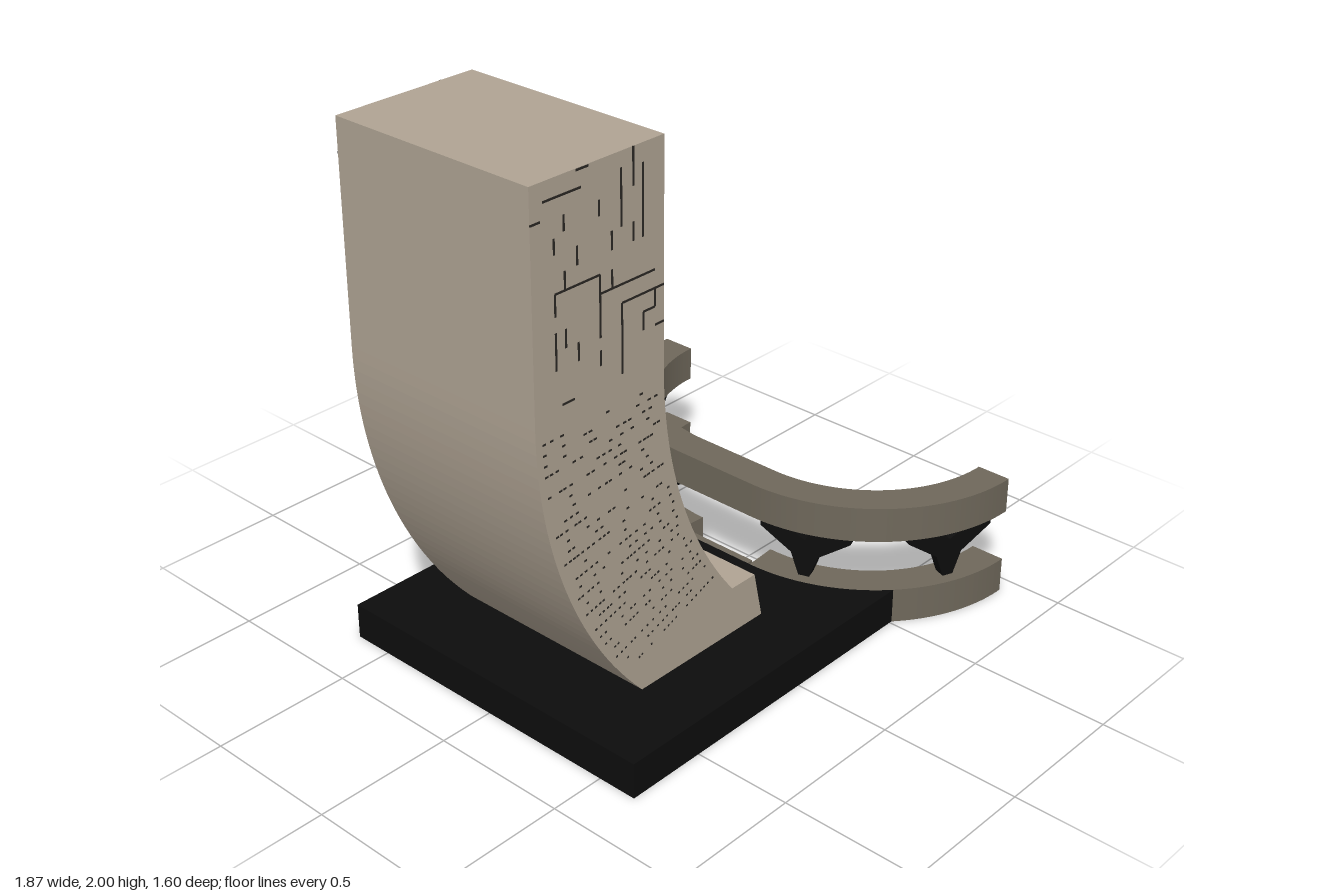
import * as THREE from 'three';
import { mergeGeometries } from 'three/addons/utils/BufferGeometryUtils.js';

const mat = (c) => new THREE.MeshStandardMaterial({ color: c });
const STONE = mat(0xb0a494), RING = mat(0x6f685b), BLACK = mat(0x0d0d0d), DARK = mat(0x2a2723);
const GLASS = mat(0x1f6b80), FRAME = mat(0x4f4239), GOLD = mat(0xa08432);

// tower edges: straight above BEND, circular arcs below
const BEND = 1.25, NICHE = { y0: 1.48, y1: 1.82, z: 0.295, depth: 0.16 };
const arcX = (x0, r, y) => (y >= BEND ? x0 : x0 + r - Math.sqrt(r * r - (BEND - y) ** 2));
const backX = (y) => arcX(-0.94, 1.645, y);
const frontX = (y) => arcX(-0.4, 1.497, y);
const BANDS = [[0.495, 0.565], [0.635, 0.705], [0.775, 0.845], [0.92, 0.995], [1.07, 1.145], [1.22, 1.3]];

// direction into the tower at the middle of a window band
function bandFrame([y0, y1]) {
  const a = new THREE.Vector2(frontX(y0), y0), b = new THREE.Vector2(frontX(y1), y1);
  const d = b.clone().sub(a);
  return { a, b, len: d.length(), angle: Math.atan2(d.y, d.x) - Math.PI / 2, inward: new THREE.Vector2(-d.y, d.x).normalize() };
}

// side profile of the tower with optional recesses
function towerShape(windows, niche, door) {
  const p = [[-0.5, 0.13]];
  if (door) p.push([0.045, 0.13], [0.045, 0.285], [0.053, 0.285], [0.05, 0.305]);
  else p.push([0.09, 0.13], [0.05, 0.305]);
  const run = (from, to) => {
    const n = Math.max(1, Math.round((to - from) / 0.04));
    for (let i = 0; i <= n; i++) {
      const y = from + ((to - from) * i) / n;
      p.push([frontX(y), y]);
    }
  };
  let y = 0.305;
  for (const band of windows ? BANDS : []) {
    run(y, band[0]);
    const { a, b, inward } = bandFrame(band);
    for (const q of [a, b]) p.push([q.x + inward.x * 0.03, q.y + inward.y * 0.03]);
    y = band[1];
  }
  run(y, Math.max(y, 1.31));
  if (niche) {
    const xi = -0.4 - NICHE.depth;
    p.push([-0.4, NICHE.y0], [xi, NICHE.y0], [xi, NICHE.y1], [-0.4, NICHE.y1]);
  }
  p.push([-0.4, 2], [-0.94, 2]);
  for (let i = 0; i < 28; i++) {
    const yy = BEND - (1.12 * i) / 28;
    p.push([backX(yy), yy]);
  }
  return new THREE.Shape(p.map(([x, v]) => new THREE.Vector2(x, v)));
}

const slice = (shape, z0, z1) =>
  new THREE.ExtrudeGeometry(shape, { depth: z1 - z0, bevelEnabled: false }).translate(0, 0, z0);

// plan drawn in x and z, standing between two heights
const plan = (shape, y0, y1) =>
  new THREE.ExtrudeGeometry(shape, { depth: y1 - y0, bevelEnabled: false, curveSegments: 24 })
    .rotateX(Math.PI / 2).translate(0, y1, 0);

const box = (w, h, d, x, y, z) => new THREE.BoxGeometry(w, h, d).translate(x, y, z);

export function createModel() {
  const group = new THREE.Group();
  const add = (name, geo, material) => {
    const m = new THREE.Mesh(Array.isArray(geo) ? mergeGeometries(geo) : geo, material);
    m.name = name;
    group.add(m);
    return m;
  };
  const PI = Math.PI, CX = 0.93, CZ = 0.17, RO = 0.63, RI = 0.505;

  // black plinth, cut along the outside of the curved terrace
  const slab = new THREE.Shape();
  const cut = Math.atan2(0.47, -0.42);
  slab.moveTo(-0.8, -0.645).lineTo(-0.8, 0.645);
  slab.absarc(CX, CZ, RO, cut, PI, false);
  slab.absarc(CX, -CZ, RO, PI, 2 * PI - cut, false);
  add('plinth', plan(slab, 0, 0.13), BLACK);

  // tower in layers, so that windows, balcony and door are recessed
  const layers = [[0, 0.065, true, true, true], [0.065, NICHE.z, true, true, false],
    [NICHE.z, 0.392, true, false, false], [0.392, 0.4, false, false, false]];
  const body = [];
  for (const [z0, z1, ...cuts] of layers) {
    const shape = towerShape(...cuts);
    body.push(slice(shape, z0, z1), slice(shape, -z1, -z0));
  }
  add('tower', body, STONE);

  // window bands
  const panes = [], frames = [];
  for (const band of BANDS) {
    const { a, b, len, angle, inward } = bandFrame(band);
    const place = (geo, depth, along = 0.5) => geo.rotateZ(angle).translate(
      a.x + (b.x - a.x) * along + inward.x * depth, a.y + (b.y - a.y) * along + inward.y * depth, 0);
    panes.push(place(box(0.01, len, 0.784, 0, 0, 0), 0.025));
    frames.push(place(box(0.014, 0.008, 0.784, 0, 0, 0), 0.018));
    for (const e of [0.04, 0.96]) frames.push(place(box(0.012, 0.006, 0.784, 0, 0, 0), 0.018, e));
    for (const z of [-0.388, 0, 0.388]) frames.push(place(box(0.016, len, 0.01, 0, 0, z), 0.016));
  }
  add('windowGlass', panes, GLASS);
  add('windowFrames', frames, FRAME);

  // balcony: gong on the back wall and railing
  const wallX = -0.4 - NICHE.depth;
  add('gong', new THREE.CylinderGeometry(0.075, 0.075, 0.012, 32).rotateZ(PI / 2).translate(wallX + 0.02, 1.56, 0), GOLD);
  add('gongHub', [new THREE.TorusGeometry(0.017, 0.002, 6, 20).rotateY(PI / 2).translate(wallX + 0.027, 1.56, 0),
    box(0.004, 0.034, 0.003, wallX + 0.027, 1.56, 0), box(0.004, 0.003, 0.034, wallX + 0.027, 1.56, 0),
    box(0.02, 0.034, 0.012, wallX + 0.012, 1.562, 0.083)], DARK);
  const rail = [1.503, 1.523].map((y) => box(0.004, 0.004, 0.59, -0.405, y, 0));
  for (let i = 0; i <= 12; i++) rail.push(box(0.004, 0.045, 0.004, -0.405, 1.502, -0.291 + i * 0.0485));
  add('balconyRailing', rail, DARK);

  // entrance door and joints in the sloping entrance wall
  add('door', box(0.01, 0.15, 0.125, 0.048, 0.205, 0), FRAME);
  add('doorLintel', box(0.012, 0.01, 0.13, 0.054, 0.297, 0), DARK);
  const joints = [];
  for (const s of [-1, 1]) for (const [z, y, h] of [[0.095, 0.21, 0.15], [0.15, 0.23, 0.13], [0.235, 0.19, 0.1], [0.3, 0.24, 0.1]])
    joints.push(box(0.003, h, 0.004, 0, 0, 0).rotateZ(0.225).translate(0.09 - (y - 0.13) * 0.2286, y, s * z));
  add('entranceJoints', joints, DARK);

  // small openings in fanned rows on both flanks
  let seed = 7;
  const rnd = () => (seed = (seed * 16807) % 2147483647) / 2147483647;
  const marks = [];
  const mark = (w, h, x, y, tilt = 0) => {
    for (const s of [-1, 1]) marks.push(box(w, h, 0.003, 0, 0, 0).rotateZ(tilt).translate(x, y, s * 0.4));
  };
  for (let row = 0; row < 27; row++) {
    const t = 0.05 + row * 0.033;
    const yb = BEND - 1.12 * t, yf = BEND - 0.93 * t;
    const xb = backX(yb), xf = frontX(yf), tilt = Math.atan2(yf - yb, xf - xb);
    for (let u = 0.06; u < 0.95; u += 0.028 + rnd() * 0.03)
      if (rnd() < 0.35 + 0.35 * t) mark(0.014 - 0.008 * t, 0.006, xb + (xf - xb) * u, yb + (yf - yb) * u, tilt);
  }
  // long and short slots in the upper flanks: x, bottom, top
  const upright = [[-0.58, 1.3, 1.53], [-0.85, 1.58, 1.65], [-0.67, 1.45, 1.65], [-0.62, 1.59, 1.65], [-0.58, 1.77, 1.95],
    [-0.53, 1.88, 2], [-0.49, 1.77, 1.94], [-0.81, 1.83, 1.88], [-0.67, 1.83, 1.88], [-0.85, 1.77, 1.82], [-0.76, 1.71, 1.77],
    [-0.62, 1.71, 1.77], [-0.53, 1.71, 1.77], [-0.49, 1.71, 1.77], [-0.81, 1.65, 1.71], [-0.85, 1.41, 1.53], [-0.81, 1.47, 1.53],
    [-0.76, 1.41, 1.47], [-0.67, 1.36, 1.41], [-0.49, 1.41, 1.47], [-0.44, 1.47, 1.53]];
  for (const [x, y0, y1] of upright) mark(0.007, y1 - y0, x, (y0 + y1) / 2);
  // level slots: left end, right end, height
  const level = [[-0.58, -0.402, 1.53], [-0.85, -0.67, 1.65], [-0.67, -0.44, 1.59], [-0.89, -0.74, 1.94],
    [-0.76, -0.71, 1.995], [-0.49, -0.44, 1.47], [-0.94, -0.9, 1.885], [-0.83, -0.78, 1.295], [-0.44, -0.402, 1.41]];
  for (const [x0, x1, y] of level) mark(x1 - x0, 0.007, (x0 + x1) / 2, y);
  add('flankOpenings', marks, DARK);

  // curved canopy over the forecourt
  const canopy = new THREE.Shape();
  canopy.absarc(CX, CZ, RO, PI / 2, PI, false);
  canopy.absarc(CX, -CZ, RO, PI, 1.5 * PI, false);
  canopy.absarc(CX, -CZ, RI, 1.5 * PI, PI, true);
  canopy.absarc(CX, CZ, RI, PI, PI / 2, true);
  add('canopy', plan(canopy, 0.325, 0.455), RING);

  // curved terrace wings with stairs between them
  for (const s of [-1, 1]) {
    const wing = new THREE.Shape();
    wing.moveTo(CX - RO, 0.16 * s);
    wing.absarc(CX, CZ * s, RO, PI, PI - (s * PI) / 2, s > 0);
    wing.absarc(CX, CZ * s, RI, PI - (s * PI) / 2, PI, s < 0);
    wing.lineTo(CX - RI, 0.16 * s);
    add(s > 0 ? 'leftTerrace' : 'rightTerrace', plan(wing, 0, 0.13), RING);
  }
  const steps = [];
  for (let i = 0; i < 5; i++) {
    const h = 0.13 - i * 0.026;
    steps.push(box(0.025, h, 0.32, 0.3125 + i * 0.025, h / 2, 0));
  }
  add('stairs', steps, RING);

  // forked canopy supports, set along the curve
  const half = [[0.02, 0.13], [0.05, 0.215], [0.165, 0.295], [0.165, 0.325], [0.085, 0.325], [0, 0.275]];
  const outline = [...half, ...half.slice(0, 5).reverse().map(([x, y]) => [-x, y])];
  const fork = new THREE.Shape(outline.map(([x, y]) => new THREE.Vector2(x, y)));
  for (const s of [-1, 1]) for (const a of [0.32, 1.2]) {
    const m = add('canopySupport', slice(fork, -0.022, 0.022), BLACK);
    m.position.set(CX - 0.567 * Math.cos(a), 0, s * (CZ + 0.567 * Math.sin(a)));
    m.rotation.y = s * (a - PI / 2);
  }
  return group;
}
